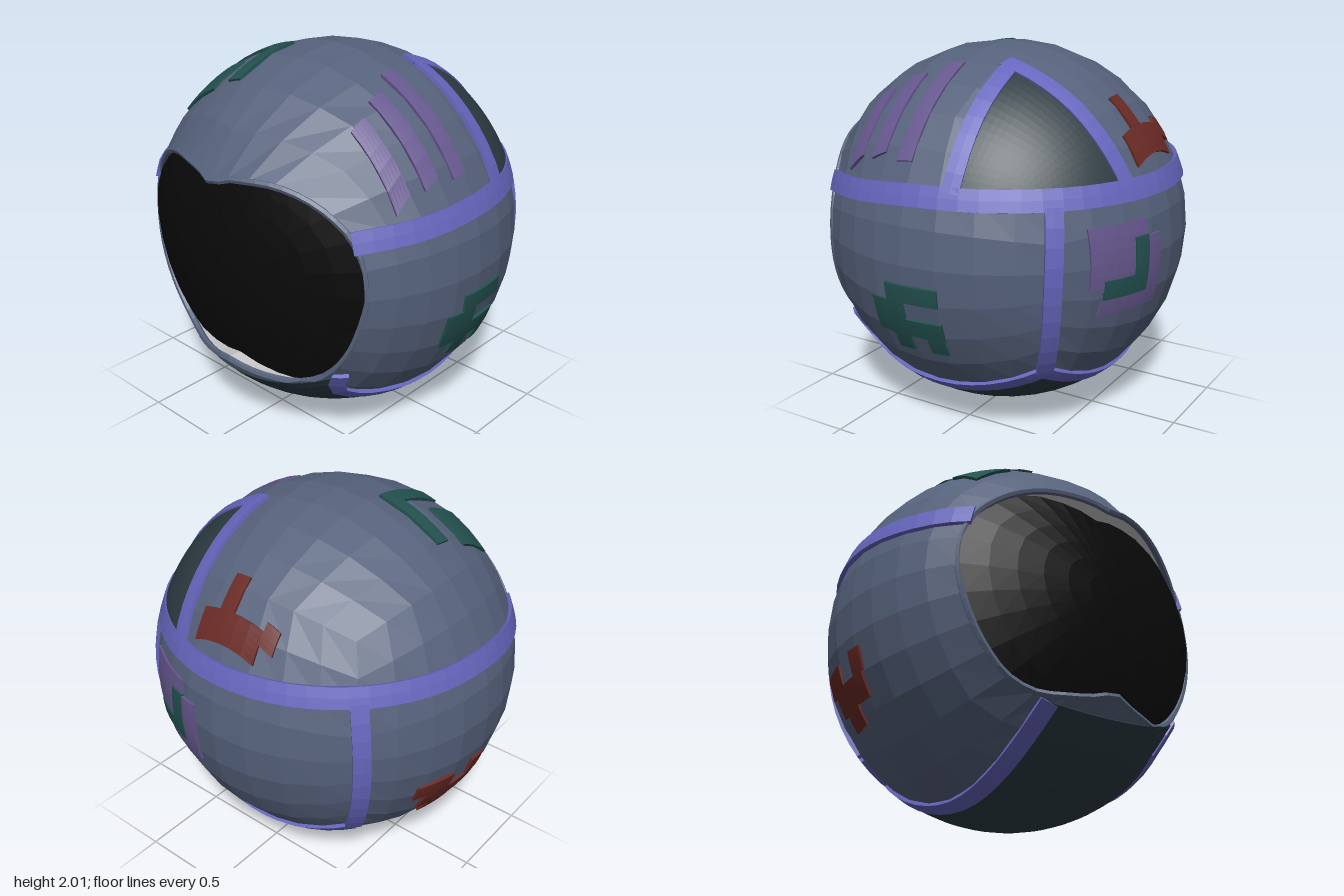
import * as THREE from 'three';

const V = (x, y, z) => new THREE.Vector3(x, y, z);
const RAD = Math.PI / 180;
const COLORS = {
  shell: 0x56627c, band: 0x6565bd, dark: 0x2c3b42, green: 0x235250,
  red: 0x6a2a25, purple: 0x67588f, visor: 0x0a0a0a, lining: 0xcccccc,
};
const materials = {};
for (const key in COLORS) {
  materials[key] = new THREE.MeshStandardMaterial({
    color: COLORS[key], flatShading: true, side: THREE.DoubleSide,
  });
}

// Grid surface from fn(u, v); with a skirt the border drops to just under the shell
function sheet(nu, nv, fn, skirt = false) {
  const pos = [], index = [], e = skirt ? 1 : 0;
  const w = nv + 2 * e + 1;
  for (let i = -e; i <= nu + e; i++) {
    for (let j = -e; j <= nv + e; j++) {
      const ci = Math.min(nu, Math.max(0, i)), cj = Math.min(nv, Math.max(0, j));
      const p = fn(ci / nu, cj / nv);
      if (ci !== i || cj !== j) p.setLength(0.985);
      pos.push(p.x, p.y, p.z);
    }
  }
  for (let i = 0; i < nu + 2 * e; i++) {
    for (let j = 0; j < nv + 2 * e; j++) {
      const a = i * w + j, b = a + w;
      index.push(a, b, b + 1, a, b + 1, a + 1);
    }
  }
  const g = new THREE.BufferGeometry();
  g.setAttribute('position', new THREE.Float32BufferAttribute(pos, 3));
  g.setIndex(index);
  g.computeVertexNormals();
  return g;
}

// Face opening: distance from the centre by angle, mirrored left to right
const OPENING = [[-90, 0.55], [-71, 0.615], [-60, 0.69], [-47.7, 0.74], [-33.7, 0.757], [-16.6, 0.772],
  [0, 0.785], [11, 0.785], [24.6, 0.77], [39.3, 0.71], [53.3, 0.636], [68.8, 0.552], [90, 0.475]];
function openingRadius(theta) {
  const a = Math.atan2(Math.sin(theta), Math.abs(Math.cos(theta))) / RAD;
  let k = 0;
  while (k < OPENING.length - 2 && a > OPENING[k + 1][0]) k++;
  const [a0, r0] = OPENING[k], [a1, r1] = OPENING[k + 1];
  return r0 + (r1 - r0) * (a - a0) / (a1 - a0);
}
function rimPoint(theta, r = 1) {
  const q = openingRadius(theta);
  return V(q * Math.cos(theta), q * Math.sin(theta), Math.sqrt(1 - q * q)).multiplyScalar(r);
}
function visorPoint(theta, f) {
  const q = openingRadius(theta) * f;
  return V(q * Math.cos(theta), q * Math.sin(theta), 0.84 - 0.345 * q * q);
}

// Slides the front half of the shell so that its open edge follows the opening
function fitOpening(d) {
  d.normalize();
  if (d.z <= 0) return d;
  const theta = Math.atan2(d.y, d.x), half = Math.PI / 2;
  const edge = Math.atan(1 / Math.max(Math.abs(Math.cos(theta)), Math.abs(Math.sin(theta))));
  const k = (half - Math.asin(openingRadius(theta))) / (half - edge);
  const alpha = half - (half - Math.acos(d.z)) * k;
  return V(Math.sin(alpha) * Math.cos(theta), Math.sin(alpha) * Math.sin(theta), Math.cos(alpha));
}

// Raised strip that follows a path of directions over the shell
function bandGeometry(points, width) {
  const curve = new THREE.CatmullRomCurve3(points.map((p) => V(...p).normalize()));
  const n = Math.ceil(curve.getLength() / 0.1);
  return sheet(n, 2, (u, v) => {
    const p = curve.getPointAt(u).normalize();
    const side = curve.getTangentAt(u).cross(p).normalize();
    return p.addScaledVector(side, (v - 0.5) * width).setLength(1.016);
  }, true);
}

// Panel spanned between two paths of directions
const panelGeometry = (left, right) => sheet(18, 18, (u, v) =>
  left(v).lerp(right(v), u).setLength(1.007), true);

// Rectangles [a0, a1, b0, b1] laid onto the shell along one axis, in model coordinates
const PROJECT = {
  top: (x, z) => V(x, Math.sqrt(Math.max(0, 1 - x * x - (z - 0.06) ** 2)), z - 0.06),
  right: (z, y) => V(Math.sqrt(1 - (z - 0.06) ** 2 - (y - 1) ** 2), y - 1, z - 0.06),
  left: (z, y) => V(-Math.sqrt(1 - (z - 0.06) ** 2 - (y - 1) ** 2), y - 1, z - 0.06),
  back: (x, y) => V(x, y - 1, -Math.sqrt(1 - x * x - (y - 1) ** 2)),
};
const PATCHES = [
  ['sideStripes', 'purple', 'top', 1.008,
    [[0.4, 0.87, 0.06, 0.15], [0.48, 0.84, 0.24, 0.33], [0.52, 0.81, 0.41, 0.5]]],
  ['topPatch', 'green', 'top', 1.008,
    [[-0.57, -0.2, 0.15, 0.24], [-0.29, -0.2, 0.24, 0.54], [-0.6, -0.375, 0.35, 0.57]]],
  ['rearTopPatch', 'red', 'top', 1.008,
    [[-0.19, 0.19, -0.82, -0.73], [0, 0.09, -0.73, -0.6], [-0.27, -0.19, -0.77, -0.7]]],
  ['sidePatch', 'green', 'right', 1.008,
    [[-0.14, 0.16, 0.805, 0.9], [0.06, 0.26, 0.61, 0.805], [-0.14, 0.06, 0.61, 0.71],
      [0.06, 0.16, 0.52, 0.61], [-0.13, -0.04, 0.52, 0.61]]],
  ['backPatch', 'purple', 'back', 1.008,
    [[0.24, 0.57, 0.89, 1.2], [0.14, 0.5, 0.74, 0.89], [0.14, 0.24, 0.89, 1.11]]],
  ['backMark', 'green', 'back', 1.014,
    [[0.24, 0.5, 0.83, 0.93], [0.24, 0.33, 0.93, 1.12]]],
  ['leftPatch', 'red', 'left', 1.008,
    [[-0.27, 0.08, 0.5, 0.62], [-0.35, -0.13, 0.62, 0.72], [0, 0.1, 0.62, 0.74], [-0.2, -0.05, 0.41, 0.5]]],
];

export function createModel() {
  const helmet = new THREE.Group();
  helmet.name = 'helmet';
  helmet.position.set(0, 1, 0.06);
  const add = (name, mat, geometry, parent = helmet) => {
    const mesh = new THREE.Mesh(geometry, materials[mat]);
    mesh.name = name;
    parent.add(mesh);
  };

  // Shell: four sides and a back of a rounded cube grid
  const shell = new THREE.Group();
  shell.name = 'shell';
  helmet.add(shell);
  const tan = (t) => Math.tan((t - 0.5) * Math.PI / 2);
  for (let k = 0; k < 4; k++) {
    add('shellSide', 'shell', sheet(8, 8, (u, v) => fitOpening(
      V(1, tan(u), tan(v)).applyAxisAngle(V(0, 0, 1), k * Math.PI / 2))), shell);
  }
  add('shellBack', 'shell', sheet(8, 8, (u, v) => V(tan(v), tan(u), -1).normalize()), shell);

  // Opening: rolled rim, inner lining and dark visor
  const rim = [];
  for (let k = 0; k < 32; k++) rim.push(rimPoint(k * Math.PI / 16, 0.99));
  add('rim', 'shell', new THREE.TubeGeometry(new THREE.CatmullRomCurve3(rim, true), 64, 0.018, 6, true));
  const turn = 2 * Math.PI;
  add('lining', 'lining', sheet(1, 32, (u, v) => rimPoint(v * turn, 0.985).lerp(visorPoint(v * turn, 1), u)));
  add('visor', 'visor', sheet(6, 32, (u, v) => visorPoint(v * turn, u)));

  // Belt around the back, from one side of the opening to the other
  const belt = [];
  for (let k = -6; k <= 6; k++) {
    const az = k * 22 * RAD;
    const y = 0.345 - 0.06 * Math.max(0, (Math.abs(k * 22) - 90) / 42);
    const h = Math.sqrt(1 - y * y);
    belt.push([Math.sin(az) * h, y, -Math.cos(az) * h]);
  }
  add('belt', 'band', bandGeometry(belt, 0.11));

  // Upright bands at the rear corners
  for (const s of [1, -1]) {
    add('rearBand', 'band', bandGeometry(
      [[0.67 * s, 0.31, -0.67], [0.71 * s, -0.1, -0.69], [0.577 * s, -0.6, -0.577]], 0.09));
  }

  // Bands around the lower panel
  const sidePath = [[0.577, -0.6, -0.577], [0.66, -0.75, 0], [0.55, -0.63, 0.56], [0.62, -0.48, 0.62]];
  const keelPath = [[-0.34, -0.7, -0.63], [-0.33, -0.944, 0], [-0.32, -0.62, 0.72]];
  add('lowerSideBand', 'band', bandGeometry(sidePath, 0.085));
  add('lowerBackBand', 'band', bandGeometry(
    [[0.577, -0.6, -0.577], [0, -0.74, -0.67], [-0.577, -0.6, -0.577]], 0.085));
  add('keelBand', 'band', bandGeometry(keelPath, 0.09));
  const path = (pts) => {
    const c = new THREE.CatmullRomCurve3(pts.map((p) => V(...p).normalize()));
    return (t) => c.getPointAt(t).normalize();
  };
  add('lowerPanel', 'dark', panelGeometry(path(keelPath), path(sidePath)));

  // Upper rear panel with its two bands
  const corner = [0.34, 0.91, -0.24];
  add('upperBand', 'band', bandGeometry([corner, [0.67, 0.70, -0.24], [0.9, 0.37, -0.24]], 0.09));
  add('upperBand', 'band', bandGeometry(
    [[0.335, 0.925, -0.2], corner, [0.34, 0.73, -0.6], [0.31, 0.37, -0.875]], 0.09));
  const line = (a, b) => (t) => V(...a).lerp(V(...b), t).normalize();
  add('upperPanel', 'dark', panelGeometry(
    line(corner, [0.31, 0.36, -0.88]), line([0.9, 0.36, -0.24], [0.68, 0.34, -0.65])));

  // Coloured patches made of rectangles
  for (const [name, color, axis, radius, rects] of PATCHES) {
    const patch = new THREE.Group();
    patch.name = name;
    helmet.add(patch);
    for (const [a0, a1, b0, b1] of rects) {
      add(name + 'Piece', color, sheet(5, 5, (u, v) =>
        PROJECT[axis](a0 + (a1 - a0) * u, b0 + (b1 - b0) * v).setLength(radius), true), patch);
    }
  }

  const model = new THREE.Group();
  model.name = 'model';
  model.add(helmet);
  return model;
}
